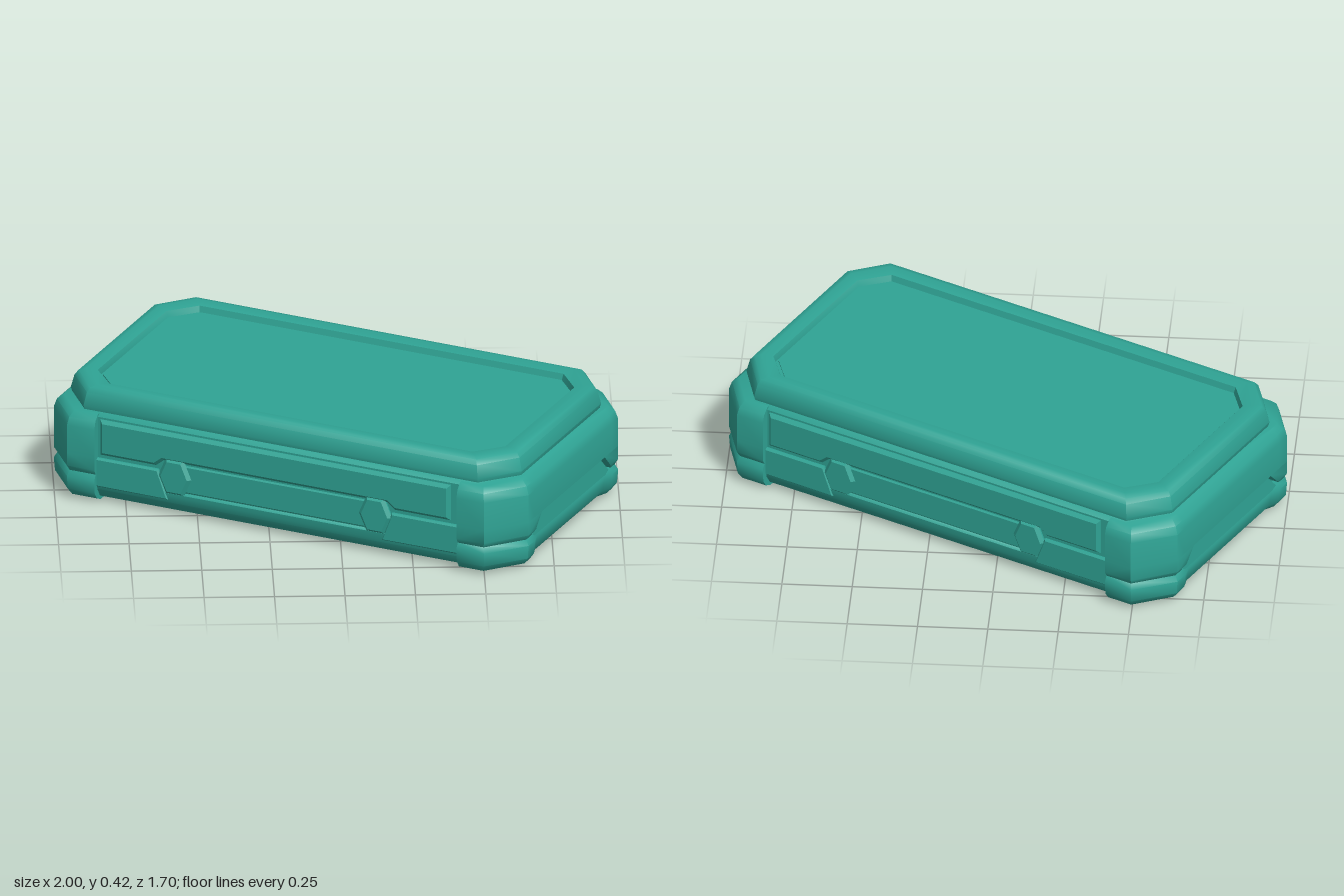
import * as THREE from 'three';
import { toCreasedNormals } from 'three/addons/utils/BufferGeometryUtils.js';

const teal = new THREE.MeshStandardMaterial({ color: 0x2fa394 });
teal.name = 'teal plastic';

// The plan of the case is very slightly out of square
const SKEW_X = 0.0155, SKEW_Z = 0.0095;

// Closed solid through stacked outlines: levels = [[y, [[x, z], ...]], ...]
function loft(name, levels) {
  const pos = [];
  const flip = THREE.ShapeUtils.area(levels[0][1].map(([x, z]) => new THREE.Vector2(x, z))) > 0;
  const tri = (a, b, c) => pos.push(...a, ...(flip ? b : c), ...(flip ? c : b));
  const rings = levels.map(([y, pts]) => pts.map(([x, z]) => [x + SKEW_X * z, y, z + SKEW_Z * x]));
  const n = rings[0].length;
  for (let k = 0; k < rings.length - 1; k++) {
    for (let i = 0; i < n; i++) {
      const j = (i + 1) % n, lo = rings[k], hi = rings[k + 1];
      tri(lo[i], hi[i], hi[j]);
      tri(lo[i], hi[j], lo[j]);
    }
  }
  // Flat bottom and top
  [0, rings.length - 1].forEach((k) => {
    const ring = flip ? rings[k] : [...rings[k]].reverse();
    const flat = ring.map(([x, , z]) => new THREE.Vector2(x, z));
    for (const [a, b, c] of THREE.ShapeUtils.triangulateShape(flat, [])) {
      if (k === 0) pos.push(...ring[a], ...ring[b], ...ring[c]);
      else pos.push(...ring[a], ...ring[c], ...ring[b]);
    }
  });
  const geo = new THREE.BufferGeometry();
  geo.setAttribute('position', new THREE.Float32BufferAttribute(pos, 3));
  const mesh = new THREE.Mesh(toCreasedNormals(geo, 0.75), teal);
  mesh.name = name;
  return mesh;
}

// Rectangle with cut corners
const octagon = (u, v, cu, cv) => [
  [u, -v + cv], [u, v - cv], [u - cu, v], [-u + cu, v],
  [-u, v - cv], [-u, -v + cv], [-u + cu, -v], [u - cu, -v],
];

// Outline of one end of the case, inset by d, its middle set back by r
const endCap = (d, r) => {
  const u = 0.935 - d, v = 0.521 - d, c = 0.385 - d * 0.5, k = 0.821 - d * 0.5;
  return [[0.713, -v], [k, -v], [u, -c], [u, -0.33], [u - r, -0.29],
    [u - r, 0.29], [u, 0.33], [u, c], [k, v], [0.713, v]];
};

// Corner post on side s, inset by d, whose inner edge sits at v = inner
const cornerPost = (s, inner, d) => [[0.713, 0.42], [0.713, 0.521 - d], [0.821 - d * 0.5, 0.521 - d],
  [0.935 - d, 0.385 - d * 0.5], [0.935 - d, inner], [0.86, inner]].map(([u, v]) => [u, s * v]);

// Plate on the long side drawn in x and y, with a bevelled front at depth z
function sidePlate(name, points, z, bevel) {
  const shape = new THREE.Shape(points.map(([x, y]) => new THREE.Vector2(x, y)));
  const geo = new THREE.ExtrudeGeometry(shape, {
    depth: z - 0.46 - bevel, bevelEnabled: true, bevelSegments: 1,
    bevelSize: bevel, bevelThickness: bevel, bevelOffset: -bevel,
  });
  geo.translate(0, 0, 0.46);
  const mesh = new THREE.Mesh(geo, teal);
  mesh.name = name;
  return mesh;
}

function buildEnd() {
  const end = new THREE.Group();
  end.name = 'endGuard';
  end.add(loft('lowerGuard', [
    [0, endCap(0.055, 0.02)], [0.015, endCap(0.022, 0.018)], [0.04, endCap(0.004, 0.014)],
    [0.09, endCap(0, 0.01)], [0.11, endCap(0.012, 0.006)],
  ]));
  end.add(loft('upperGuard', [
    [0.18, endCap(0, 0)], [0.285, endCap(0, 0)], [0.315, endCap(0.01, 0)], [0.335, endCap(0.032, 0)],
  ]));
  for (const s of [-1, 1]) {
    end.add(loft('cornerPost', [
      [0.11, cornerPost(s, 0.345, 0.012)], [0.13, cornerPost(s, 0.32, 0)], [0.18, cornerPost(s, 0.27, 0)],
    ]));
  }
  // Raised middle of the lower guard, filling the notch under the upper one
  const block = (v, u) => [[0.85, -v], [u, -v], [u, v], [0.85, v]];
  end.add(loft('endNotchBlock', [[0.1, block(0.335, 0.924)], [0.175, block(0.262, 0.918)]]));
  return end;
}

function buildSide() {
  const side = new THREE.Group();
  side.name = 'longSide';
  side.add(sidePlate('topRail', [
    [-0.69, 0.183], [-0.47, 0.183], [-0.44, 0.207], [0.44, 0.207],
    [0.47, 0.183], [0.69, 0.183], [0.69, 0.318], [-0.69, 0.318],
  ], 0.504, 0.012));
  side.add(sidePlate('recessedPanel', [
    [-0.36, 0.095], [0.36, 0.095], [0.36, 0.2], [-0.36, 0.2],
  ], 0.495, 0.005));
  for (const s of [-1, 1]) {
    side.add(sidePlate('lowerFlange', [
      [0.74, 0.06], [0.74, 0.17], [0.46, 0.17], [0.42, 0.06],
    ].map(([x, y]) => [x * s, y]), 0.502, 0.006));
    const clip = [[-0.065, 0.15], [-0.035, 0.083], [0.035, 0.083],
      [0.065, 0.15], [0.035, 0.22], [-0.035, 0.22]].map(([x, y]) => [x + s * 0.395, y]);
    side.add(sidePlate('clip', clip, 0.507, 0.012));
  }
  return side;
}

export function createModel() {
  const model = new THREE.Group();
  model.name = 'ruggedCase';
  const box = new THREE.Group();
  box.name = 'caseBody';
  box.rotation.y = -THREE.MathUtils.degToRad(27.1);
  model.add(box);

  // Main body with a rounded lower edge and a ledge below the side panels
  box.add(loft('core', [
    [0.004, octagon(0.85, 0.438, 0.1, 0.13)],
    [0.016, octagon(0.885, 0.472, 0.11, 0.14)],
    [0.05, octagon(0.9, 0.495, 0.11, 0.14)],
    [0.086, octagon(0.9, 0.499, 0.11, 0.14)],
    [0.092, octagon(0.9, 0.489, 0.11, 0.14)],
    [0.325, octagon(0.9, 0.489, 0.11, 0.14)],
    [0.345, octagon(0.87, 0.465, 0.11, 0.14)],
  ]));

  // Lid with a raised rim around a sunken top panel
  box.add(loft('lid', [
    [0.335, octagon(0.884, 0.472, 0.112, 0.135)],
    [0.352, octagon(0.888, 0.476, 0.112, 0.135)],
    [0.4, octagon(0.876, 0.465, 0.108, 0.13)],
    [0.416, octagon(0.864, 0.453, 0.105, 0.125)],
    [0.422, octagon(0.84, 0.43, 0.098, 0.115)],
    [0.415, octagon(0.803, 0.391, 0.086, 0.096)],
    [0.393, octagon(0.796, 0.384, 0.083, 0.092)],
  ]));
  box.add(loft('topPanel', [
    [0.38, octagon(0.788, 0.376, 0.083, 0.092)],
    [0.397, octagon(0.788, 0.376, 0.083, 0.092)],
  ]));

  // Ends and sides repeat half a turn apart
  for (const turn of [0, Math.PI]) {
    const end = buildEnd(), side = buildSide();
    end.rotation.y = turn;
    side.rotation.y = turn - SKEW_Z;
    box.add(end, side);
  }
  return model;
}
